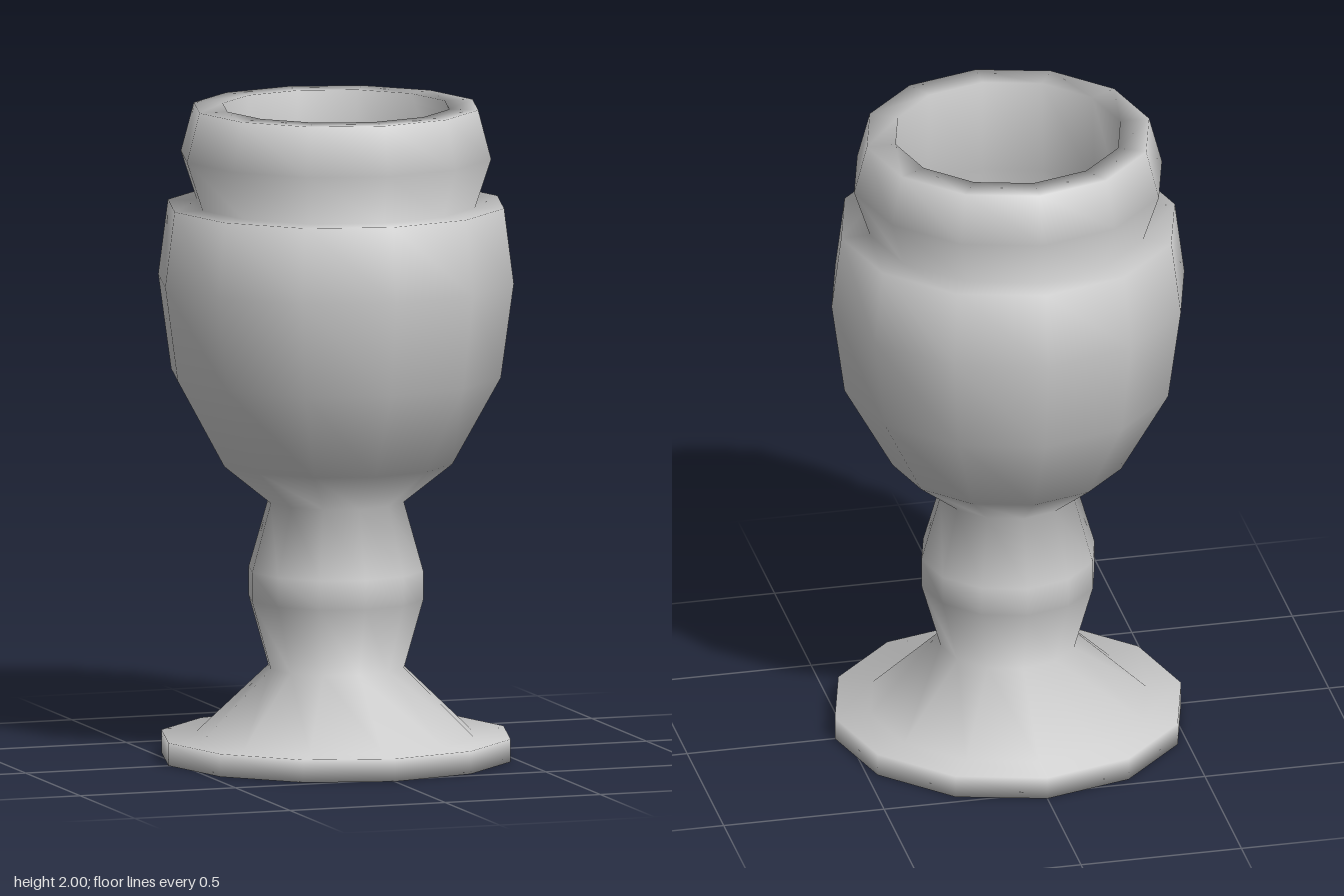
import * as THREE from 'three';

const SIDES = 12;

// Profile [radius, height], grouped by part; each part starts where the last one ends
const PARTS = {
  foot: [[0, 0], [0.54, 0], [0.54, 0.07], [0.43, 0.07], [0.21, 0.28]],
  stem: [[0.27, 0.49], [0.27, 0.58], [0.21, 0.79]],
  bowl: [[0.36, 0.91], [0.51, 1.18], [0.55, 1.47], [0.52, 1.7], [0.43, 1.7]],
  rim: [[0.48, 1.85], [0.44, 2], [0.35, 2]],
  bowlInterior: [[0.36, 1.7], [0.42, 1.45], [0.38, 1.2], [0.24, 1.02], [0, 0.95]],
};

export function createModel() {
  const group = new THREE.Group();
  group.name = 'goblet';
  const material = new THREE.MeshStandardMaterial({ color: 0xcccccc });

  // One lathe supplies smooth normals shared across all parts
  const profile = Object.values(PARTS).flat().map(([r, y]) => new THREE.Vector2(r, y));
  const lathe = new THREE.LatheGeometry(profile, SIDES);
  const rows = profile.length - 1;

  // Each part takes its own bands of faces from the lathe
  let start = 0;
  let end = -1;
  for (const [name, points] of Object.entries(PARTS)) {
    end += points.length;
    const index = [];
    for (let side = 0; side < SIDES; side++) {
      for (let row = start; row < end; row++) {
        const first = (side * rows + row) * 6;
        for (let k = 0; k < 6; k++) index.push(lathe.index.getX(first + k));
      }
    }
    const geometry = new THREE.BufferGeometry();
    for (const key of ['position', 'normal', 'uv']) geometry.setAttribute(key, lathe.getAttribute(key));
    geometry.setIndex(index);
    const mesh = new THREE.Mesh(geometry, material);
    mesh.name = name;
    group.add(mesh);
    start = end;
  }
  return group;
}
